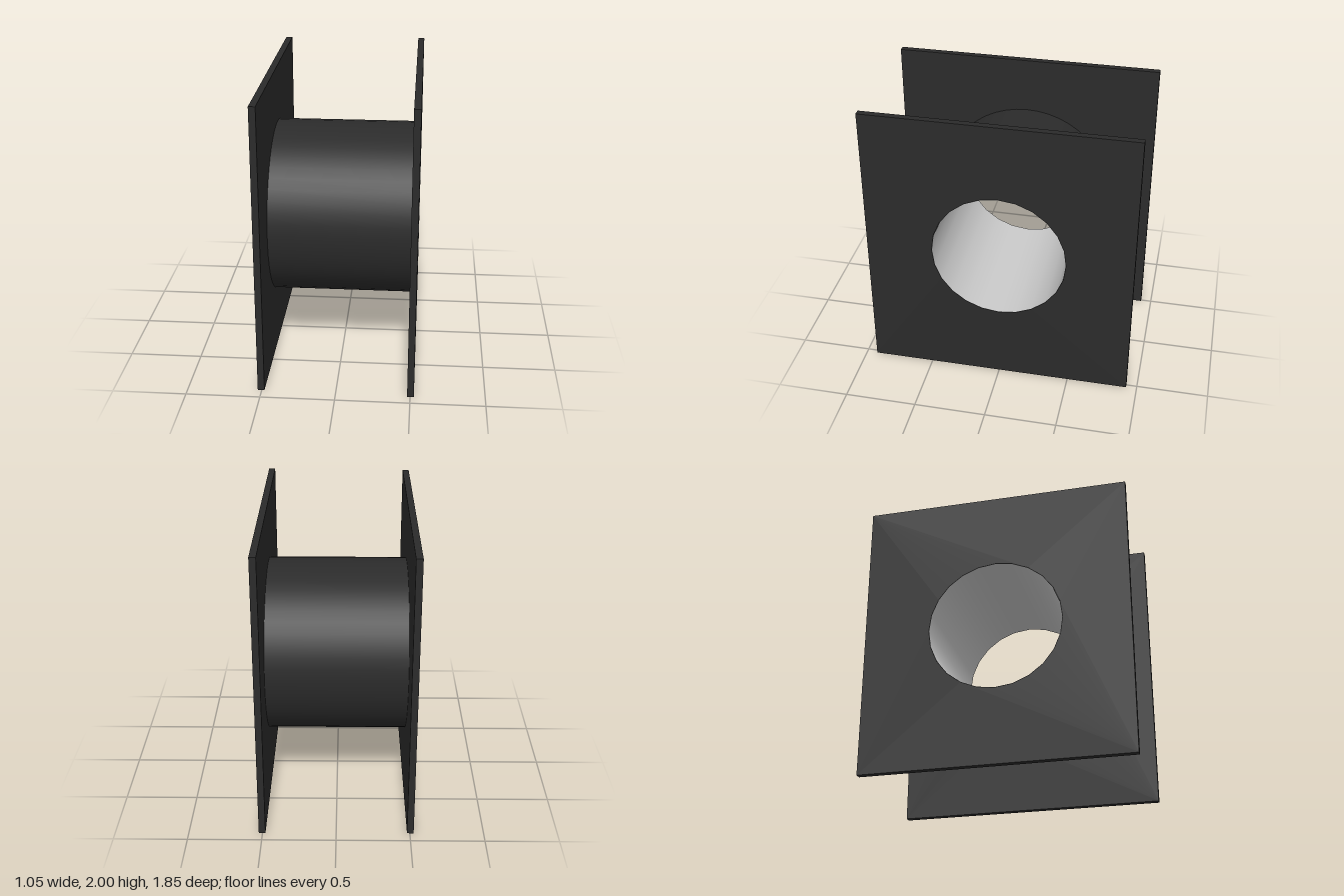
import * as THREE from 'three';

const INNER = 0.48, OUTER = 0.525, BORE = 0.463;

// Open tube running along x
function tube(name, radius, length, sides, material) {
  const geometry = new THREE.CylinderGeometry(radius, radius, length, sides, 1, true);
  geometry.rotateZ(Math.PI / 2);
  const mesh = new THREE.Mesh(geometry, material);
  mesh.name = name;
  mesh.position.y = 1;
  return mesh;
}

// Rectangular end plate with a round hole, starting at x
function plate(name, x, halfHeight, material) {
  const w = 0.925, h = halfHeight;
  const shape = new THREE.Shape([
    new THREE.Vector2(-w, -h), new THREE.Vector2(w, -h),
    new THREE.Vector2(w, h), new THREE.Vector2(-w, h),
  ]);
  const hole = new THREE.Path();
  hole.absarc(0, 0, BORE + 0.002, 0, Math.PI * 2, true);
  shape.holes.push(hole);
  const geometry = new THREE.ExtrudeGeometry(shape, {
    depth: OUTER - INNER, bevelEnabled: false, curveSegments: 12,
  });
  geometry.rotateY(Math.PI / 2);
  const mesh = new THREE.Mesh(geometry, material);
  mesh.name = name;
  mesh.position.set(x, 1, 0);
  return mesh;
}

export function createModel() {
  const model = new THREE.Group();
  model.name = 'spool';
  const dark = new THREE.MeshStandardMaterial({ color: 0x2b2b2b });
  const grey = new THREE.MeshStandardMaterial({ color: 0xcccccc, side: THREE.DoubleSide });

  // End plates, the right one very slightly shorter
  model.add(plate('leftPlate', INNER, 1, dark));
  model.add(plate('rightPlate', -OUTER, 0.993, dark));

  // Drum between the plates and the lining of the through hole
  model.add(tube('drum', 0.607, INNER * 2, 48, dark));
  model.add(tube('boreLining', BORE, OUTER * 2, 24, grey));
  return model;
}
